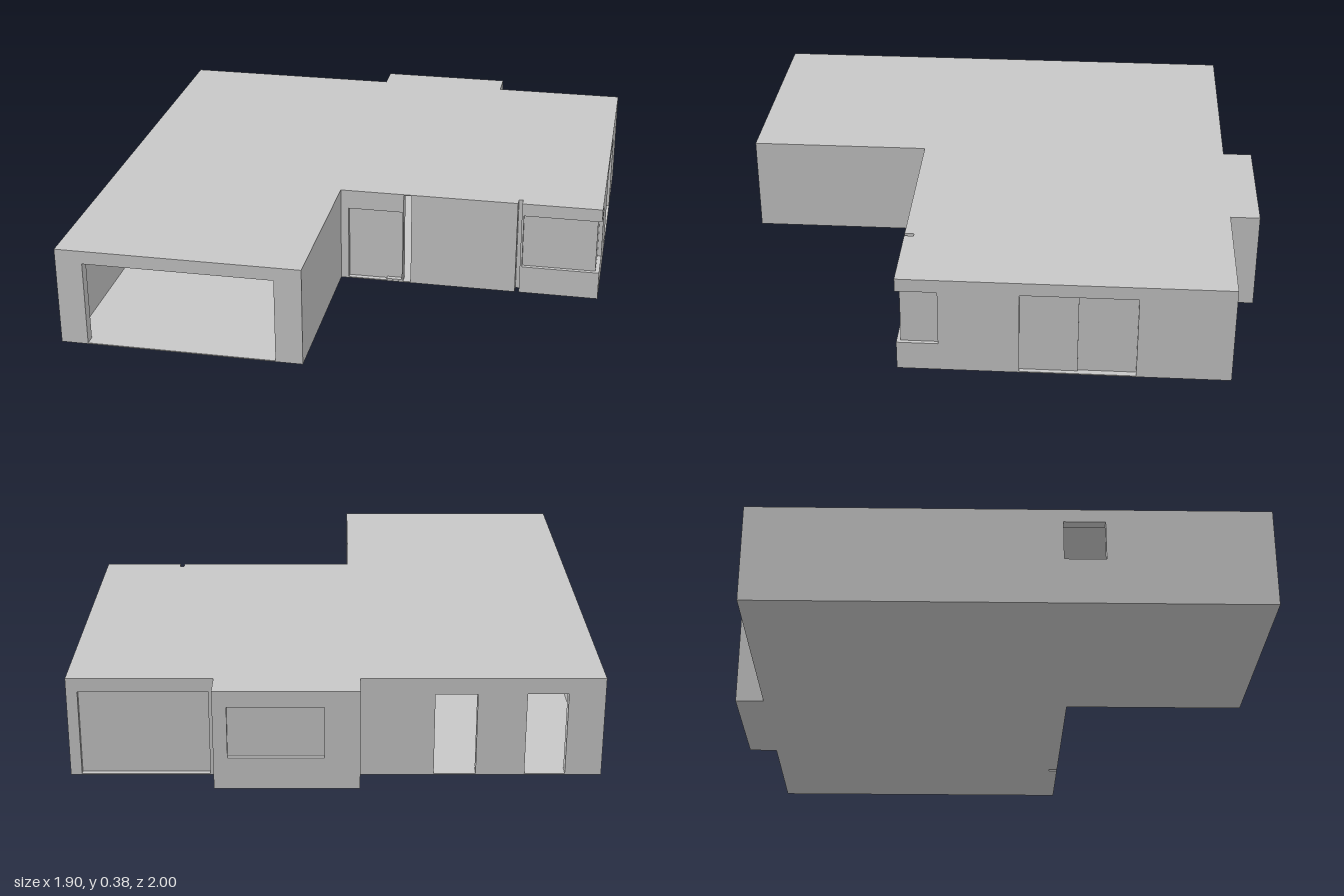
import * as THREE from 'three';

const H = 0.375;      // wall height
const T = 0.04;       // wall thickness
const TOP = 0.325;    // head height of windows and wide doors
const SLAB = 0.004;

export function createModel() {
  const house = new THREE.Group();
  house.name = 'house';
  const plaster = new THREE.MeshStandardMaterial({ color: 0xc8c8c8 });
  plaster.name = 'lightGrey';

  function add(name, geometry) {
    const mesh = new THREE.Mesh(geometry, plaster);
    mesh.name = name;
    house.add(mesh);
    return mesh;
  }

  function box(name, x0, x1, y0, y1, z0, z1) {
    const mesh = add(name, new THREE.BoxGeometry(x1 - x0, y1 - y0, z1 - z0));
    mesh.position.set((x0 + x1) / 2, (y0 + y1) / 2, (z0 + z1) / 2);
  }

  // Wall whose outer face runs from (x1,z1) to (x2,z2), left to right seen from outside.
  // Openings are [start, end, bottom, top], measured along the wall; bottom 0 is a doorway.
  // A fifth value fills the opening with a pane set back by that amount.
  function wall(name, x1, z1, x2, z2, openings = [], y0 = 0, y1 = H) {
    const length = Math.hypot(x2 - x1, z2 - z1);
    const shape = new THREE.Shape();
    shape.moveTo(0, y0);
    for (const [a, b, low, high] of openings) {
      if (low === 0) {
        shape.lineTo(a, 0);
        shape.lineTo(a, high);
        shape.lineTo(b, high);
        shape.lineTo(b, 0);
      } else {
        const hole = new THREE.Path();
        hole.moveTo(a, low);
        hole.lineTo(a, high);
        hole.lineTo(b, high);
        hole.lineTo(b, low);
        hole.closePath();
        shape.holes.push(hole);
      }
    }
    shape.lineTo(length, y0);
    shape.lineTo(length, y1);
    shape.lineTo(0, y1);
    shape.closePath();
    const geometry = new THREE.ExtrudeGeometry(shape, { depth: T, bevelEnabled: false });
    geometry.translate(0, 0, -T);
    const turn = Math.atan2(z1 - z2, x2 - x1);
    const place = (mesh) => {
      mesh.rotation.y = turn;
      mesh.position.set(x1, 0, z1);
    };
    place(add(name, geometry));
    for (const [a, b, low, high, setback] of openings) {
      if (!setback) continue;
      const pane = new THREE.BoxGeometry(b - a, high - low, 0.008);
      pane.translate((a + b) / 2, (low + high) / 2, -setback - 0.004);
      place(add(name + 'Pane', pane));
    }
  }

  // Roof and floor follow the footprint, including the drainpipe groove
  const footprint = [
    [-0.95, 1], [-0.05, 1], [-0.05, 0.31], [0.632, 0.31], [0.632, 0.275], [0.648, 0.275],
    [0.648, 0.31], [0.95, 0.31], [0.95, -0.89], [0.43, -0.89], [0.43, -1],
    [-0.085, -1], [-0.085, -0.89], [-0.95, -0.89],
  ];
  const plan = new THREE.Shape(footprint.map(([x, z]) => new THREE.Vector2(x, -z)));
  for (const [name, y] of [['floor', 0], ['roof', H - SLAB]]) {
    const slab = new THREE.ExtrudeGeometry(plan, { depth: SLAB, bevelEnabled: false });
    slab.rotateX(-Math.PI / 2);
    slab.translate(0, y, 0);
    add(name, slab);
  }

  // Garage
  wall('garageFrontWall', -0.95, 1, -0.05, 1, [[0.1, 0.8, 0, TOP]]);
  wall('garageSideWall', -0.05, 1, -0.05, 0.27);
  wall('garageRearWall', -0.95, 0.2, -0.05, 0.2, [[0.06, 0.18, 0, 0.283]]);

  // Entrance front with its door and the narrow slit beside it
  wall('entranceWall', -0.05, 0.31, 0.195, 0.31, [[0.03, 0.24, 0, 0.3, 0.02]]);
  wall('frontWall', 0.225, 0.31, 0.632, 0.31);
  box('doorStep', 0.13, 0.195, 0, 0.01, 0.285, 0.309);

  // Drainpipe groove
  box('grooveBack', 0.6, 0.69, 0, H, 0.235, 0.275);
  box('groovePost', 0.648, 0.656, 0, H, 0.27, 0.31);

  // Window wrapping the front corner
  for (const [name, low, high] of [['cornerSill', 0, 0.11], ['cornerHeader', TOP, H]]) {
    wall(name + 'Front', 0.648, 0.31, 0.95, 0.31, [], low, high);
    wall(name + 'Side', 0.95, 0.31, 0.95, 0.16, [], low, high);
  }
  box('cornerWindowFront', 0.65, 0.935, 0.11, TOP, 0.287, 0.295);
  box('cornerWindowSide', 0.927, 0.935, 0.11, TOP, 0.16, 0.295);

  // Side wall with a sliding door of two overlapping leaves
  wall('rightWall', 0.95, 0.16, 0.95, -0.89, [[0.29, 0.71, 0, TOP, 0.024]]);
  box('slidingLeaf', 0.926, 0.934, 0.005, TOP, -0.34, -0.13);

  // Rear walls and the projecting bay
  wall('rearPatioWall', 0.95, -0.89, 0.43, -0.89, [[0.03, 0.5, 0, TOP, 0.02]]);
  wall('baySideLeft', 0.43, -0.85, 0.43, -1);
  wall('bayWall', 0.43, -1, -0.085, -1, [[0.05, 0.39, 0.12, 0.315, 0.015]]);
  wall('baySideRight', -0.085, -1, -0.085, -0.85);
  wall('rearDoorWall', -0.085, -0.89, -0.95, -0.89,
    [[0.265, 0.415, 0, 0.315], [0.59, 0.735, 0, 0.315]]);

  // Long side wall with a small open window
  wall('longSideWall', -0.95, -0.89, -0.95, 1, [[1.14, 1.29, 0.175, TOP]]);

  // Inner partition between the garage wing and the living rooms
  box('innerPartition', -0.09, -0.05, 0, H, -0.87, 0.31);

  return house;
}
